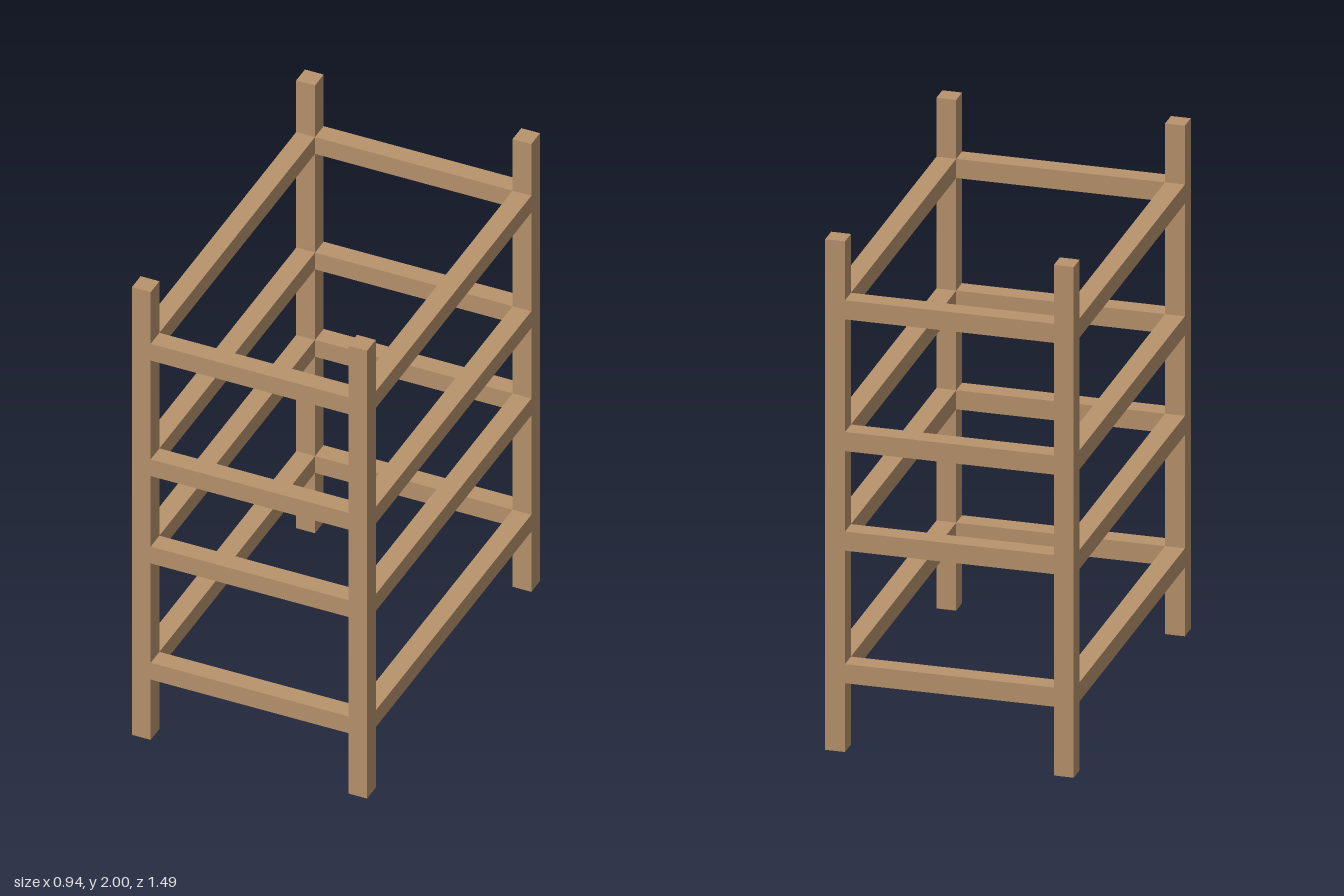
import * as THREE from 'three';

export function createModel() {
  const model = new THREE.Group();
  model.name = 'openRackFrame';

  const wood = new THREE.MeshStandardMaterial({ color: 0xb9946d });
  wood.name = 'wood';

  const T = 0.075; // square beam thickness
  const X = 0.4325; // post centre lines
  const Z = 0.7075;

  function beam(name, w, h, d, x, y, z) {
    const mesh = new THREE.Mesh(new THREE.BoxGeometry(w, h, d), wood);
    mesh.name = name;
    mesh.position.set(x, y, z);
    model.add(mesh);
  }

  // Four corner posts
  for (const sx of [-1, 1]) {
    for (const sz of [-1, 1]) {
      beam(`${sz > 0 ? 'front' : 'back'}${sx > 0 ? 'Left' : 'Right'}Post`, T, 2, T, sx * X, 1, sz * Z);
    }
  }

  // Four levels of rails butted between the posts
  [0.307, 0.826, 1.216, 1.732].forEach((y, i) => {
    for (const s of [-1, 1]) {
      beam(`${s > 0 ? 'front' : 'back'}Rail${i + 1}`, 2 * X - T, T, T, 0, y, s * Z);
      beam(`${s > 0 ? 'left' : 'right'}Rail${i + 1}`, T, T, 2 * Z - T, s * X, y, 0);
    }
  });

  return model;
}
